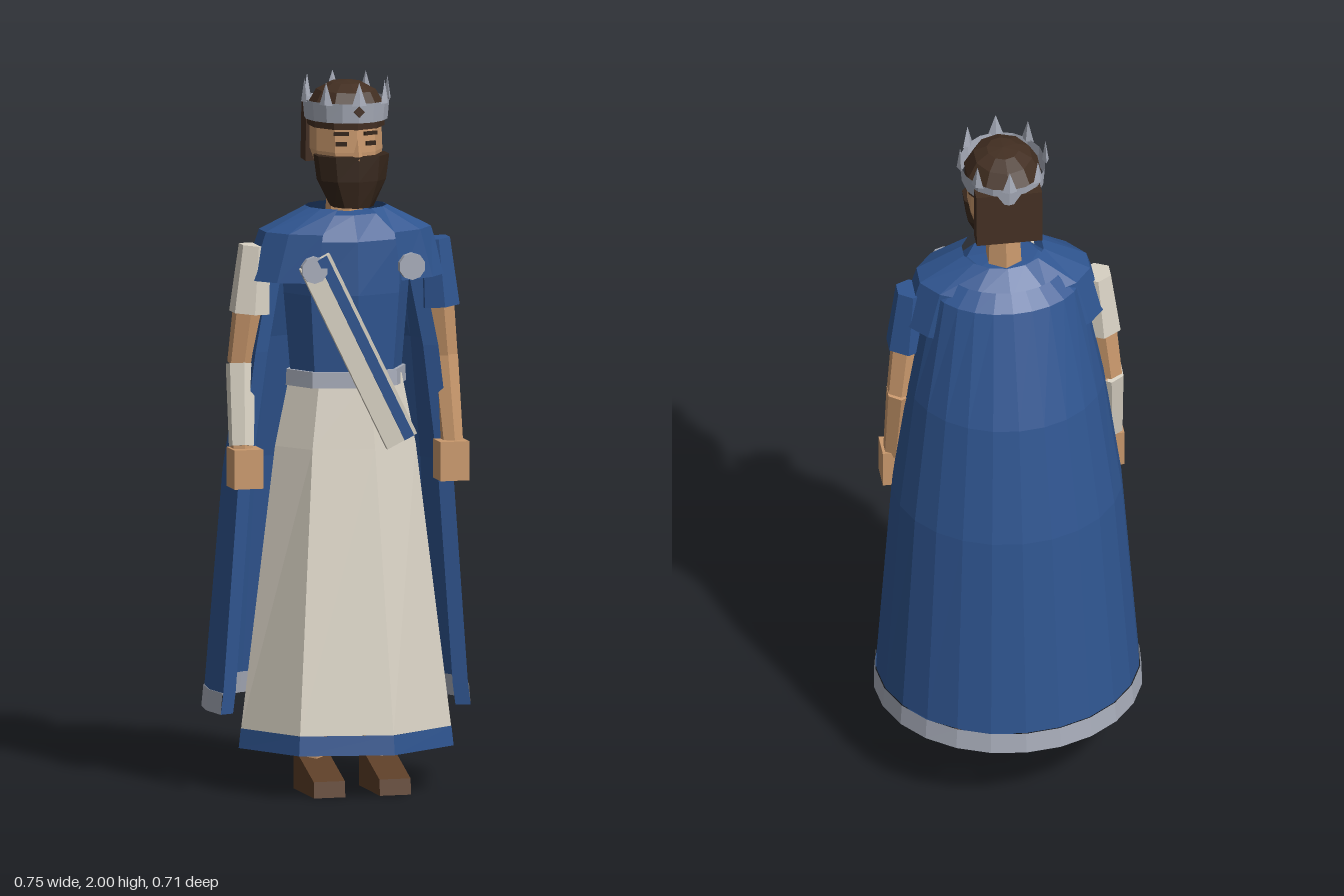
import * as THREE from 'three';

const mat = (name, color, cloth) => Object.assign(
  new THREE.MeshStandardMaterial({ color, flatShading: true, side: cloth ? THREE.DoubleSide : THREE.FrontSide }), { name });

const rad = THREE.MathUtils.degToRad;

// Rows of points, top to bottom, joined into a faceted skin
function skin(rows) {
  const pos = [];
  for (let i = 0; i < rows.length - 1; i++) {
    for (let j = 0; j < rows[i].length - 1; j++) {
      const a = rows[i][j], b = rows[i][j + 1], c = rows[i + 1][j], d = rows[i + 1][j + 1];
      for (const p of [a, c, b, c, d, b]) pos.push(...p);
    }
  }
  const g = new THREE.BufferGeometry();
  g.setAttribute('position', new THREE.Float32BufferAttribute(pos, 3));
  g.computeVertexNormals();
  return g;
}

// Elliptical rings [y, rx, rz, centreZ]; angles run from the front (+z) towards +x
function loft(rings, n, start = 0, sweep = 360) {
  return skin(rings.map(([y, rx, rz, cz]) => Array.from({ length: n + 1 }, (_, j) => {
    const t = rad(start + sweep * j / n);
    return [rx * Math.sin(t), y, cz + rz * Math.cos(t)];
  })));
}

export function createModel() {
  const model = new THREE.Group();
  model.name = 'king';
  const blue = mat('blue cloth', 0x2f5590, true);
  const cream = mat('cream cloth', 0xdad3c5, true);
  const silver = mat('silver', 0xa6abb8, true);
  const skinTone = mat('skin', 0xc9986c);
  const hair = mat('hair brown', 0x432f22);
  const beardBrown = mat('beard brown', 0x36261b, true);
  const leather = mat('boot leather', 0x5c3e27);

  const add = (name, geo, material, parent = model) => {
    const g = geo.index ? geo.toNonIndexed() : geo;
    g.computeVertexNormals();
    const m = new THREE.Mesh(g, material);
    m.name = name;
    parent.add(m);
    return m;
  };
  const box = (name, size, at, material, parent) => {
    const m = add(name, new THREE.BoxGeometry(...size), material, parent);
    m.position.set(...at);
    return m;
  };
  // Tapered limb between two points
  const limb = (name, from, to, r0, r1, material) => {
    const a = new THREE.Vector3(...from), b = new THREE.Vector3(...to);
    const dir = a.clone().sub(b);
    const m = add(name, new THREE.CylinderGeometry(r0, r1, dir.length(), 6), material);
    m.position.copy(a).add(b).multiplyScalar(0.5);
    m.quaternion.setFromUnitVectors(new THREE.Vector3(0, 1, 0), dir.normalize());
    return m;
  };

  // Torso, belt and gown
  add('torso', loft([[1.63, 0, 0, 0.1], [1.62, 0.1, 0.08, 0.1], [1.55, 0.19, 0.12, 0.1],
    [1.4, 0.18, 0.13, 0.1], [1.17, 0.16, 0.115, 0.1]], 8), blue);
  add('belt', loft([[1.185, 0.15, 0.1, 0.1], [1.185, 0.172, 0.125, 0.1],
    [1.14, 0.174, 0.128, 0.1], [1.14, 0.15, 0.1, 0.1]], 8), silver);
  add('gownSkirt', loft([[1.17, 0.163, 0.115, 0.1], [0.97, 0.205, 0.14, 0.1],
    [0.18, 0.303, 0.253, 0.1]], 7, -90), cream);
  add('gownTrim', loft([[0.18, 0.304, 0.254, 0.1], [0.125, 0.31, 0.261, 0.1]], 7, -90), blue);

  // Cloak, open at the front, with a pale hem and turned front edges
  const cloakRings = [[1.6, 0.16, 0.12, 0.06], [1.56, 0.21, 0.157, 0.052], [1.235, 0.275, 0.257, 0.04],
    [0.89, 0.322, 0.3, 0.018], [0.28, 0.368, 0.348, 0.002]];
  add('cloak', loft(cloakRings, 14, 74, 212), blue);
  const hemRing = [0.22, 0.376, 0.357, 0];
  add('cloakHem', loft([[0.28, 0.371, 0.351, 0.002], hemRing], 14, 74, 212), silver);
  for (const s of [1, -1]) {
    const rows = [...cloakRings.slice(1), hemRing].map(([y, rx, rz, cz]) => {
      const x = rx * Math.sin(rad(74)), z = cz + rz * Math.cos(rad(74));
      return [[s * (x - 0.04), y, z - 0.015], [s * x, y, z]];
    });
    add(s > 0 ? 'cloakEdgeLeft' : 'cloakEdgeRight', skin(rows), blue);
  }

  // Shoulder mantle with a gap at the chest
  add('mantle', loft([[1.64, 0.115, 0.1, 0.1], [1.575, 0.245, 0.155, 0.09],
    [1.44, 0.29, 0.168, 0.085]], 12, 25, 310), blue);

  // Arms, legs and boots
  const bootShape = new THREE.Shape([[0.06, 0], [0.27, 0], [0.265, 0.045], [0.11, 0.1], [0.06, 0.1]]
    .map(p => new THREE.Vector2(...p)));
  for (const s of [1, -1]) {
    const side = s > 0 ? 'Left' : 'Right';
    const elbow = [s * 0.295, 1.2, 0.065], wrist = [s * 0.304, 0.96, 0.11];
    limb('upperArm' + side, [s * 0.262, 1.5, 0.085], elbow, 0.045, 0.038, skinTone);
    limb('sleeve' + side, [s * 0.26, 1.535, 0.085], [s * 0.275, 1.345, 0.085], 0.045, 0.058, s > 0 ? blue : cream);
    limb('forearm' + side, elbow, wrist, 0.039, 0.032, skinTone);
    if (s < 0) limb('bracer', elbow, [s * 0.304, 0.975, 0.107], 0.042, 0.036, cream);
    box('hand' + side, [0.083, 0.11, 0.08], [s * 0.298, 0.915, 0.122], skinTone);
    limb('leg' + side, [s * 0.095, 0.8, 0.1], [s * 0.095, 0.08, 0.095], 0.055, 0.04, skinTone);
    const boot = add('boot' + side,
      new THREE.ExtrudeGeometry(bootShape, { depth: 0.09, bevelEnabled: false }), leather);
    boot.rotation.y = -Math.PI / 2;
    boot.position.x = s * 0.095 + 0.045;

    // Cloak clasp
    const clasp = add('clasp' + side, new THREE.CylinderGeometry(0.038, 0.038, 0.018, 10), silver);
    clasp.rotation.x = Math.PI / 2;
    clasp.position.set(s * 0.141, 1.485, 0.272);
  }

  // Diagonal striped sash
  const sash = new THREE.Group();
  sash.name = 'sash';
  sash.position.set(-0.01, 1.25, 0.257);
  sash.rotation.set(0.05, 0, rad(26.6));
  model.add(sash);
  box('sashBand', [0.095, 0.58, 0.018], [0, 0, 0], cream, sash);
  box('sashStripe', [0.03, 0.58, 0.004], [0.022, 0, 0.01], blue, sash);

  // Neck, head and face
  limb('neck', [0, 1.74, 0.085], [0, 1.58, 0.08], 0.048, 0.055, skinTone);
  add('head', loft([[1.89, 0, 0, 0.1], [1.89, 0.098, 0.115, 0.095], [1.8, 0.1, 0.118, 0.1],
    [1.73, 0.08, 0.09, 0.125], [1.68, 0.05, 0.05, 0.14], [1.68, 0, 0, 0.14]], 10), skinTone);
  const nose = add('nose', new THREE.ConeGeometry(0.017, 0.06, 4), skinTone);
  nose.position.set(0, 1.81, 0.22);
  add('beard', loft([[1.79, 0, 0, 0.16], [1.79, 0.108, 0.08, 0.155], [1.72, 0.098, 0.08, 0.155],
    [1.645, 0.06, 0.066, 0.16], [1.645, 0, 0, 0.16]], 10), beardBrown);
  for (const s of [1, -1]) {
    box('brow', [0.042, 0.01, 0.009], [s * 0.042, 1.853, 0.201], beardBrown).rotation.y = s * 0.37;
    box('eye', [0.032, 0.012, 0.008], [s * 0.042, 1.825, 0.202], beardBrown).rotation.y = s * 0.37;
  }

  // Hair
  add('hairCap', loft([[1.99, 0, 0, 0.1], [1.985, 0.045, 0.052, 0.1], [1.965, 0.082, 0.095, 0.1],
    [1.92, 0.108, 0.125, 0.1], [1.865, 0.106, 0.122, 0.1], [1.865, 0, 0, 0.1]], 10), hair);
  box('backHair', [0.185, 0.16, 0.05], [0, 1.835, -0.006], hair).rotation.x = 0.06;

  // Crown with eight points
  add('crownBand', loft([[1.94, 0.12, 0.136, 0.1], [1.885, 0.115, 0.131, 0.1]], 16), silver);
  for (let i = 0; i < 8; i++) {
    const t = i * Math.PI / 4;
    const point = add('crownPoint', new THREE.ConeGeometry(0.021, 0.065, 4), silver);
    point.scale.z = 0.45;
    point.position.set(0.12 * Math.sin(t), 1.9675, 0.1 + 0.136 * Math.cos(t));
    point.rotation.y = t;
  }
  const gem = box('crownGem', [0.022, 0.022, 0.008], [0, 1.918, 0.236], hair);
  gem.rotation.z = Math.PI / 4;
  return model;
}
